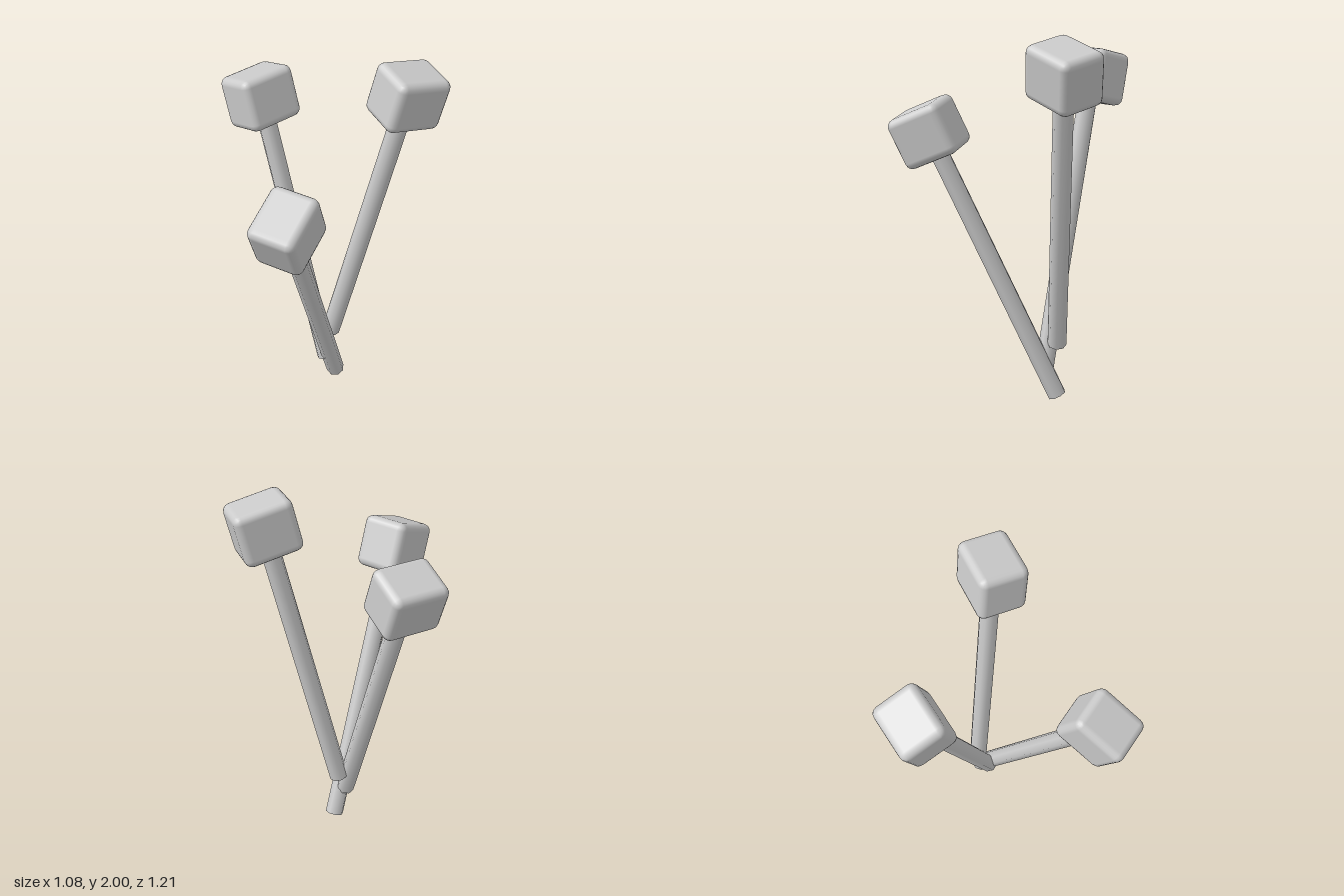
import * as THREE from 'three';
import { RoundedBoxGeometry } from 'three/addons/geometries/RoundedBoxGeometry.js';

const UP = new THREE.Vector3(0, 1, 0);

// One stick with a rounded block on its end; twist turns the block about the stick.
function createMallet(name, base, head, twist, material) {
  const start = new THREE.Vector3(...base);
  const direction = new THREE.Vector3(...head).sub(start);
  const length = direction.length();

  const mallet = new THREE.Group();
  mallet.name = name;
  mallet.position.copy(start);
  mallet.quaternion.setFromUnitVectors(UP, direction.normalize());

  // Stick ends inside the block
  const stickLength = length - 0.08;
  const stick = new THREE.Mesh(new THREE.CylinderGeometry(0.05, 0.05, stickLength, 8), material);
  stick.name = 'stick';
  stick.position.y = stickLength / 2;
  stick.rotation.y = twist;

  // Block, slightly deeper than wide
  const block = new THREE.Mesh(new RoundedBoxGeometry(0.255, 0.275, 0.305, 2, 0.04), material);
  block.name = 'block';
  block.position.y = length;
  block.rotation.y = twist;

  mallet.add(stick, block);
  return mallet;
}

export function createModel() {
  const model = new THREE.Group();
  model.name = 'stickBundle';
  const grey = new THREE.MeshStandardMaterial({ color: 0xcccccc });

  // Three sticks fanning out from a shared foot
  model.add(
    createMallet('rightMallet', [0.09, 0.17, -0.13], [-0.38, 1.665, -0.078], -0.085, grey),
    createMallet('backMallet', [0.06, 0.305, -0.19], [0.33, 1.835, -0.42], -0.23, grey),
    createMallet('frontMallet', [0.085, 0.022, -0.21], [0.37, 1.44, 0.4], 0.33, grey),
  );
  return model;
}
